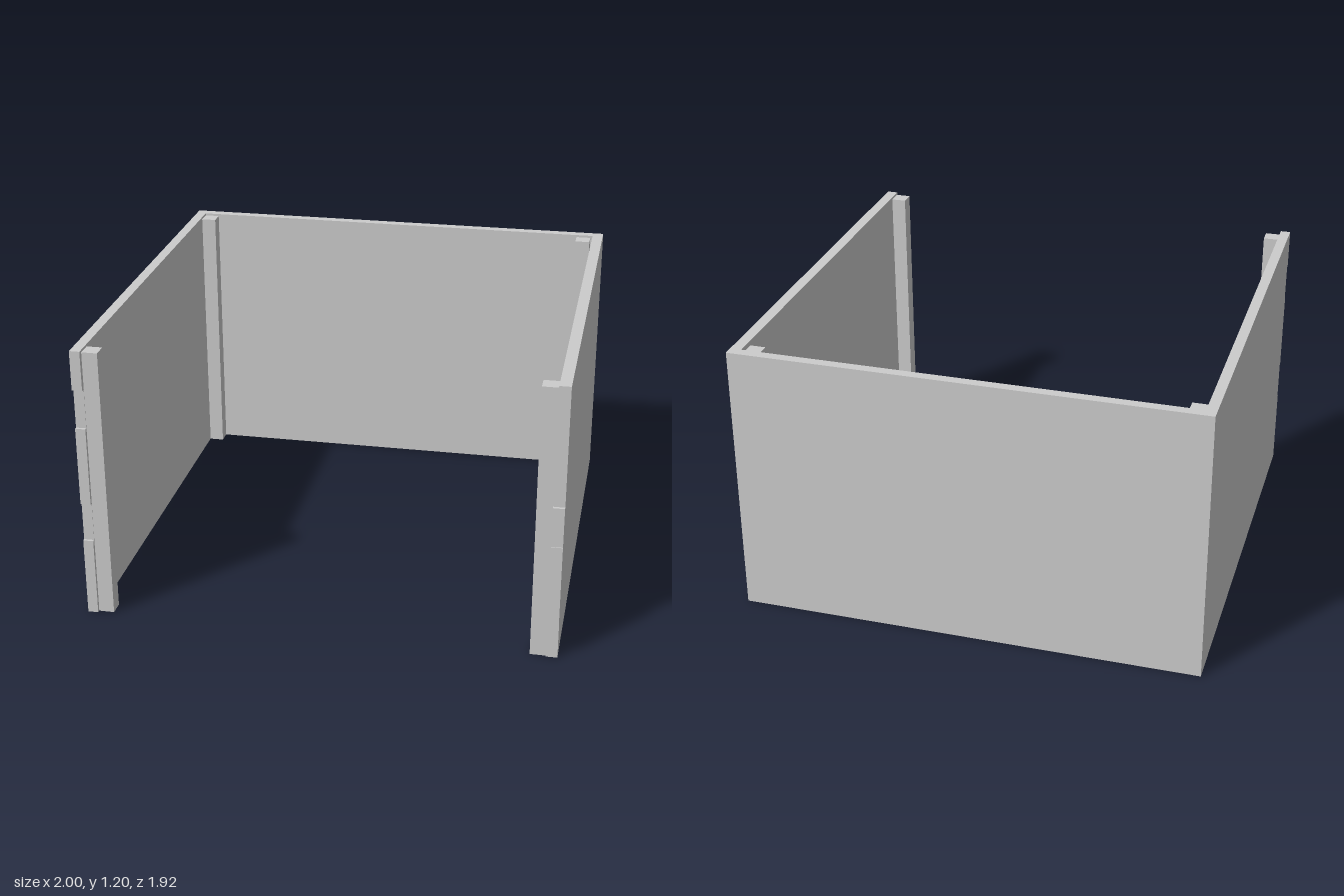
import * as THREE from 'three';

const HEIGHT = 1.2, ROWS = 7, ROW = HEIGHT / ROWS;
const BACK = -0.96, BACK_INNER = -0.917;

export function createModel() {
  const group = new THREE.Group();
  const material = new THREE.MeshStandardMaterial({ color: 0xcccccc, flatShading: true });

  // Box given by its lower and upper corners
  function addBox(name, [x0, y0, z0], [x1, y1, z1], parent) {
    const mesh = new THREE.Mesh(new THREE.BoxGeometry(x1 - x0, y1 - y0, z1 - z0), material);
    mesh.position.set((x0 + x1) / 2, (y0 + y1) / 2, (z0 + z1) / 2);
    mesh.name = name;
    parent.add(mesh);
  }

  // Back wall
  addBox('backWall', [-1, 0, BACK], [1, HEIGHT, BACK_INNER], group);

  // Side walls: stacked planks with slightly uneven front ends, bottom to top
  const walls = [
    ['rightWall', -1, -0.956, [0.95, 0.95, 0.938, 0.95, 0.95, 0.938, 0.956]],
    ['leftWall', 0.952, 1, [0.943, 0.957, 0.96, 0.956, 0.943, 0.943, 0.943]],
  ];
  for (const [name, x0, x1, ends] of walls) {
    const wall = new THREE.Group();
    wall.name = name;
    ends.forEach((end, i) =>
      addBox('plank', [x0, i * ROW, BACK_INNER], [x1, (i + 1) * ROW, end], wall));
    group.add(wall);
  }

  // Corner posts, a little lower than the walls
  const posts = [
    ['frontRightPost', -0.956, 0.87],
    ['frontLeftPost', 0.886, 0.87],
    ['backRightPost', -0.956, BACK_INNER],
    ['backLeftPost', 0.876, BACK_INNER],
  ];
  for (const [name, x, z] of posts) {
    addBox(name, [x, 0, z], [x + 0.066, 1.19, z + 0.066], group);
  }

  return group;
}
